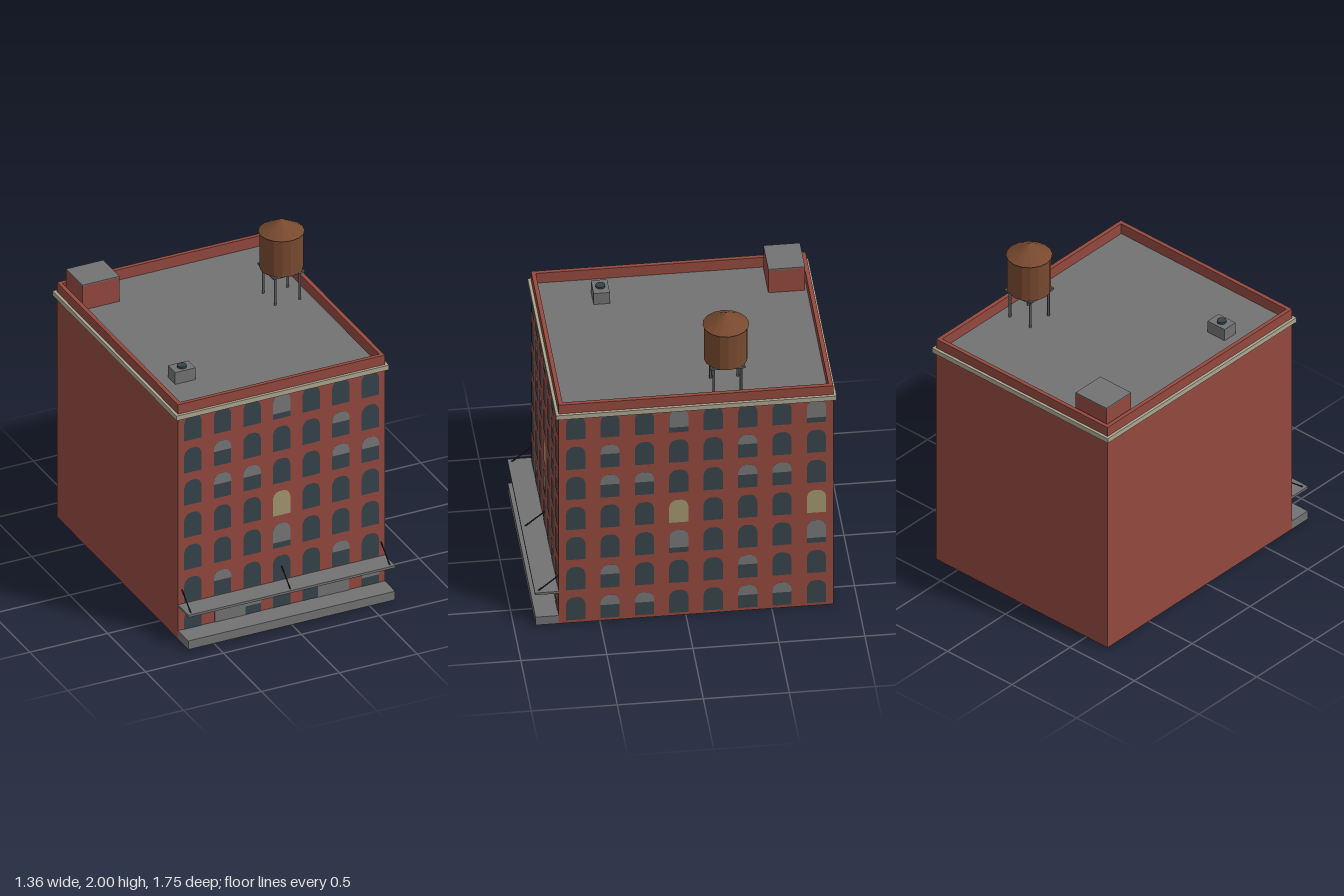
import * as THREE from 'three';
import { mergeGeometries } from 'three/addons/utils/BufferGeometryUtils.js';

const mat = (name, color, extra = {}) => {
  const m = new THREE.MeshStandardMaterial({ color, ...extra });
  m.name = name;
  return m;
};

// Main block: half width, back, front, roof height
const HX = 0.664, ZB = -0.857, ZF = 0.739, ROOF = 1.485;
const ZC = (ZB + ZF) / 2, DEPTH = ZF - ZB;

export function createModel() {
  const D = { side: THREE.DoubleSide };
  const brick = mat('brick', 0x93483e, D);
  const concrete = mat('concrete', 0x727272, D);
  const glass = mat('window glass', 0x36434a, D);
  const blind = mat('window blind', 0x757575, D);
  const lit = mat('lit window', 0xa2966f, D);
  const stone = mat('cornice stone', 0xaca48f);
  const wood = mat('tank wood', 0x77492f, { flatShading: true });
  const steel = mat('steel', 0x565a5c);
  const iron = mat('dark iron', 0x23282c);

  const model = new THREE.Group();
  model.name = 'warehouse';
  const add = (name, geo, material, x = 0, y = 0, z = 0, parent = model) => {
    const m = new THREE.Mesh(geo, material);
    m.name = name;
    m.position.set(x, y, z);
    parent.add(m);
    return m;
  };
  // Box given by its limits
  const block = (name, material, x0, x1, y0, y1, z0, z1, parent = model) =>
    add(name, new THREE.BoxGeometry(x1 - x0, y1 - y0, z1 - z0), material,
      (x0 + x1) / 2, (y0 + y1) / 2, (z0 + z1) / 2, parent);

  // Arched pane outline, cut off below 'low'
  const archGeo = (low, w = 0.056) => {
    const half = [[w, low], [w, 0.112], [w * 0.88, 0.136], [w * 0.62, 0.153], [w * 0.3, 0.16]];
    const left = half.map(([x, y]) => [-x, y]).reverse();
    return new THREE.ShapeGeometry(new THREE.Shape([...half, ...left].map(p => new THREE.Vector2(...p))));
  };

  // Wall with a grid of windows, seen on both faces of the thin wall
  const facade = (name, width, cols, pitch, skip) => {
    const g = new THREE.Group();
    g.name = name;
    model.add(g);
    add(name + 'Brick', new THREE.PlaneGeometry(width, ROOF), brick, 0, ROOF / 2, 0, g);
    const panes = { glass: [], blind: [], lit: [] };
    const put = (kind, low, x, y, off) => {
      for (const s of [-1, 1]) panes[kind].push(archGeo(low).translate(x, y, s * off));
    };
    for (let r = 0; r < 7; r++) {
      for (let c = 0; c < cols; c++) {
        if (skip(r, c)) continue;
        const x = (c - (cols - 1) / 2) * pitch, y = 1.304 - r * 0.214;
        const rr = r % 4, cc = c % 4;
        if (rr === 3 && cc === 3) { put('lit', 0, x, y, 0.002); continue; }
        put('glass', 0, x, y, 0.002);
        if (rr === 0 && cc === 3) put('blind', 0.037, x, y, 0.004);
        if (rr === 1 && cc === 1) put('blind', 0.096, x, y, 0.004);
        if (rr === 2 && (cc === 1 || cc === 2)) put('blind', 0.092, x, y, 0.004);
      }
    }
    add('windowPanes', mergeGeometries(panes.glass), glass, 0, 0, 0, g);
    add('windowBlinds', mergeGeometries(panes.blind), blind, 0, 0, 0, g);
    add('litWindows', mergeGeometries(panes.lit), lit, 0, 0, 0, g);
    return g;
  };

  const front = facade('frontWall', 2 * HX, 7, 0.19, (r, c) => r === 6 && (c === 1 || c === 5));
  front.position.z = ZF;
  const side = facade('windowedSideWall', DEPTH, 8, 0.2, () => false);
  side.rotation.y = Math.PI / 2;
  side.position.set(HX, 0, ZC);

  // Blank walls
  add('backWall', new THREE.PlaneGeometry(2 * HX, ROOF).rotateY(Math.PI), brick, 0, ROOF / 2, ZB);
  add('blankSideWall', new THREE.PlaneGeometry(DEPTH, ROOF).rotateY(-Math.PI / 2), brick, -HX, ROOF / 2, ZC);

  // Loading doors with transom lights
  for (const s of [-1, 1]) {
    block('loadingDoor', concrete, s * 0.331 - 0.099, s * 0.331 + 0.099, 0.055, 0.198, -0.0045, 0.0045, front);
    block('doorTransom', glass, s * 0.331 - 0.058, s * 0.331 + 0.058, 0.167, 0.197, -0.0065, 0.0065, front);
  }

  // Rectangular rings around the top
  const ring = (grow, inset, height) => {
    const rect = (T, d) => new T([[-1, -1], [1, -1], [1, 1], [-1, 1]].map(([a, b]) =>
      new THREE.Vector2(a * (HX + d), b * (DEPTH / 2 + d))));
    const shape = rect(THREE.Shape, grow);
    shape.holes.push(rect(THREE.Path, -inset));
    return new THREE.ExtrudeGeometry(shape, { depth: height, bevelEnabled: false }).rotateX(-Math.PI / 2);
  };
  add('parapet', ring(0, 0.025, 1.555 - ROOF), brick, 0, ROOF, ZC);
  add('cornice', ring(0.018, -0.0005, 0.031), stone, 0, 1.462, ZC);
  block('roofDeck', concrete, -HX + 0.001, HX - 0.001, ROOF - 0.008, ROOF + 0.001, ZB + 0.001, ZF - 0.001);

  // Roof stair house
  block('stairHouse', brick, -0.622, -0.384, ROOF, 1.645, -0.82, -0.607);
  block('stairHouseRoof', concrete, -0.622, -0.384, 1.645, 1.652, -0.82, -0.607);

  // Air conditioner
  block('airConditioner', concrete, -0.521, -0.39, ROOF, 1.564, 0.314, 0.408);
  add('airConditionerFan', new THREE.CylinderGeometry(0.028, 0.028, 0.013, 16), glass, -0.456, 1.57, 0.361);

  // Water tank on legs
  const tank = new THREE.Group();
  tank.name = 'waterTank';
  tank.position.set(0.484, 0, -0.254);
  model.add(tank);
  add('tankBody', new THREE.CylinderGeometry(0.127, 0.127, 0.24, 16), wood, 0, 1.8, 0, tank);
  add('tankRoof', new THREE.ConeGeometry(0.135, 0.08, 16), wood, 0, 1.96, 0, tank);
  block('tankPlatform', steel, -0.102, 0.102, 1.668, 1.68, -0.102, 0.102, tank);
  for (const x of [-0.079, 0.079]) for (const z of [-0.079, 0.079])
    add('tankLeg', new THREE.CylinderGeometry(0.008, 0.008, 1.67 - ROOF, 8), steel, x, (1.67 + ROOF) / 2, z, tank);

  // Loading dock and canopy with tie rods
  block('loadingDock', concrete, -HX, HX, 0, 0.057, ZF, 0.874);
  block('canopy', concrete, -HX, HX, 0.214, 0.229, ZF, 0.877);
  for (const x of [-0.639, 0, 0.639]) {
    const rod = new THREE.LineCurve3(new THREE.Vector3(x, 0.226, 0.856), new THREE.Vector3(x, 0.322, ZF));
    add('canopyTieRod', new THREE.TubeGeometry(rod, 1, 0.004, 6), iron);
  }

  return model;
}
